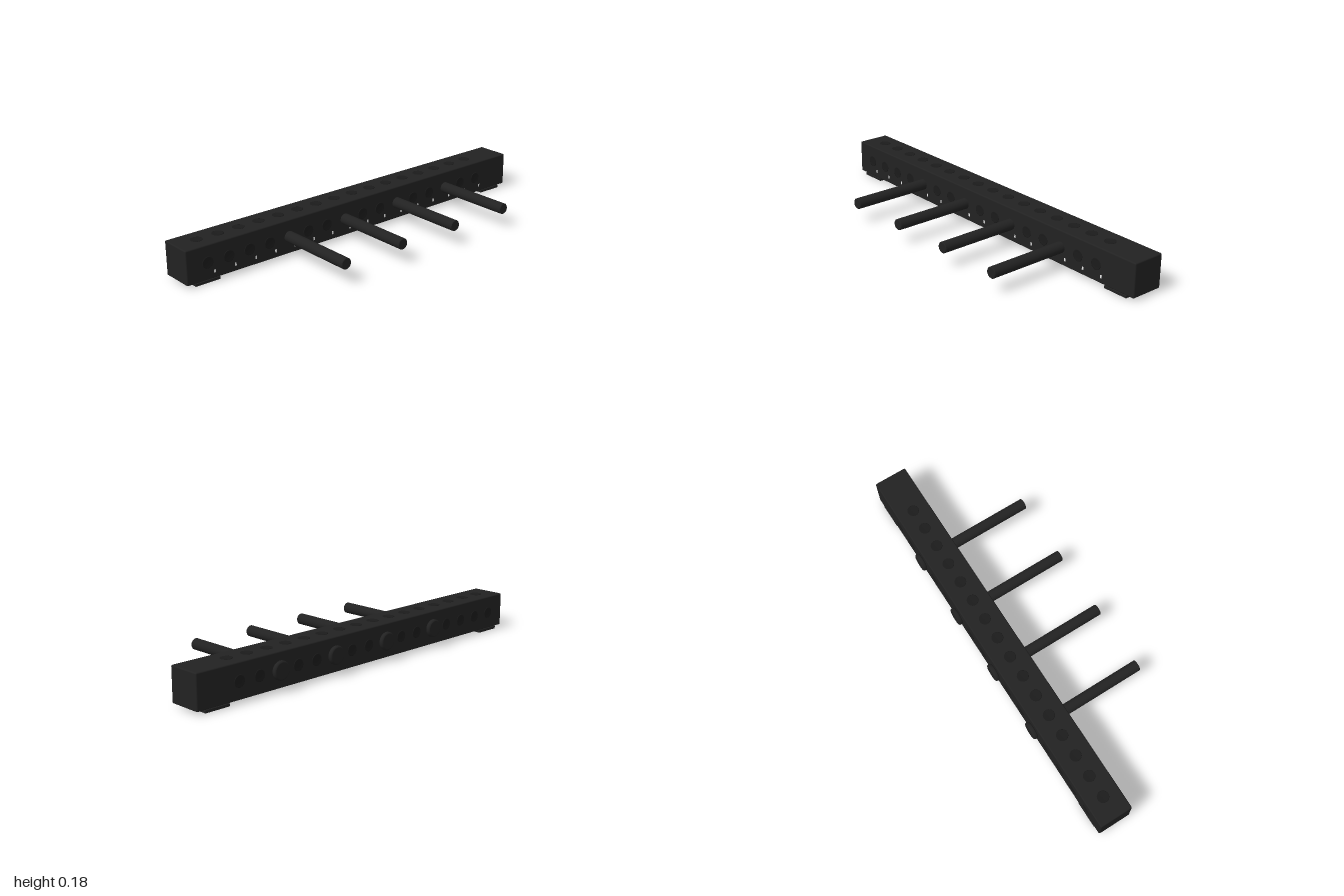
import * as THREE from 'three';
import { RoundedBoxGeometry } from 'three/addons/geometries/RoundedBoxGeometry.js';

const mat = (name, color) => {
  const m = new THREE.MeshStandardMaterial({ color });
  m.name = name;
  return m;
};

export function createModel() {
  const body = mat('matte black', 0x222222);
  const dark = mat('socket black', 0x1b1b1b);
  const white = mat('marking white', 0xe8e8e8);
  const model = new THREE.Group();
  model.name = 'pegRail';

  const add = (name, geometry, material, x, y, z, rx = 0) => {
    const m = new THREE.Mesh(geometry, material);
    m.name = name;
    m.position.set(x, y, z);
    m.rotation.x = rx;
    model.add(m);
    return m;
  };

  const midY = 0.0975, midZ = -0.195, half = 0.083;
  const pitch = 0.111, firstX = -0.89, count = 16;
  const pegSlots = [4, 7, 10, 13];

  // Square rail with softened edges
  add('rail', new RoundedBoxGeometry(2, half * 2, half * 2, 3, 0.006), body, 0, midY, midZ);

  // Feet under both ends
  for (const s of [-1, 1]) {
    add('foot', new RoundedBoxGeometry(0.13, 0.015, half * 2, 2, 0.003), body, s * 0.893, 0.0075, midZ);
  }

  // Shallow socket faces: low rim with a slightly dished centre
  const socket = new THREE.LatheGeometry([
    [0, 0.0008], [0.012, 0.0009], [0.022, 0.0013], [0.026, 0.002], [0.028, 0.0015], [0.028, -0.002],
  ].reverse().map(([r, y]) => new THREE.Vector2(r, y)), 24);

  // Plain position marks
  const mark = new THREE.BoxGeometry(0.009, 0.015, 0.002);

  for (let i = 0; i < count; i++) {
    const x = firstX + i * pitch;
    add('topSocket', socket, dark, x, midY + half, midZ);
    if (!pegSlots.includes(i)) {
      add('frontSocket', socket, dark, x, midY, midZ + half, Math.PI / 2);
      add('backSocket', socket, dark, x, midY, midZ - half, -Math.PI / 2);
    }
    add('positionMark', mark, white, x + 0.033, 0.048, midZ + half);
  }

  // Pegs with a chamfered tip and a rounded head, turned around one axis
  const pegProfile = [
    [0, -0.3], [0.037, -0.3], [0.041, -0.2985], [0.044, -0.294], [0.044, -0.284],
    [0.041, -0.2795], [0.037, -0.278], [0.027, -0.278], [0.027, 0.297], [0.0245, 0.3], [0, 0.3],
  ];
  // Repeated points keep the sharp corners crisp
  const points = pegProfile.flatMap(([r, y], i) => {
    const p = new THREE.Vector2(r, y);
    return [1, 6, 7, 8, 9].includes(i) ? [p, p.clone().add(new THREE.Vector2(0, 1e-5))] : [p];
  });
  const peg = new THREE.LatheGeometry(points, 32);
  for (const i of pegSlots) {
    add('peg', peg, body, firstX + i * pitch, midY + 0.001, 0, Math.PI / 2);
  }

  return model;
}
